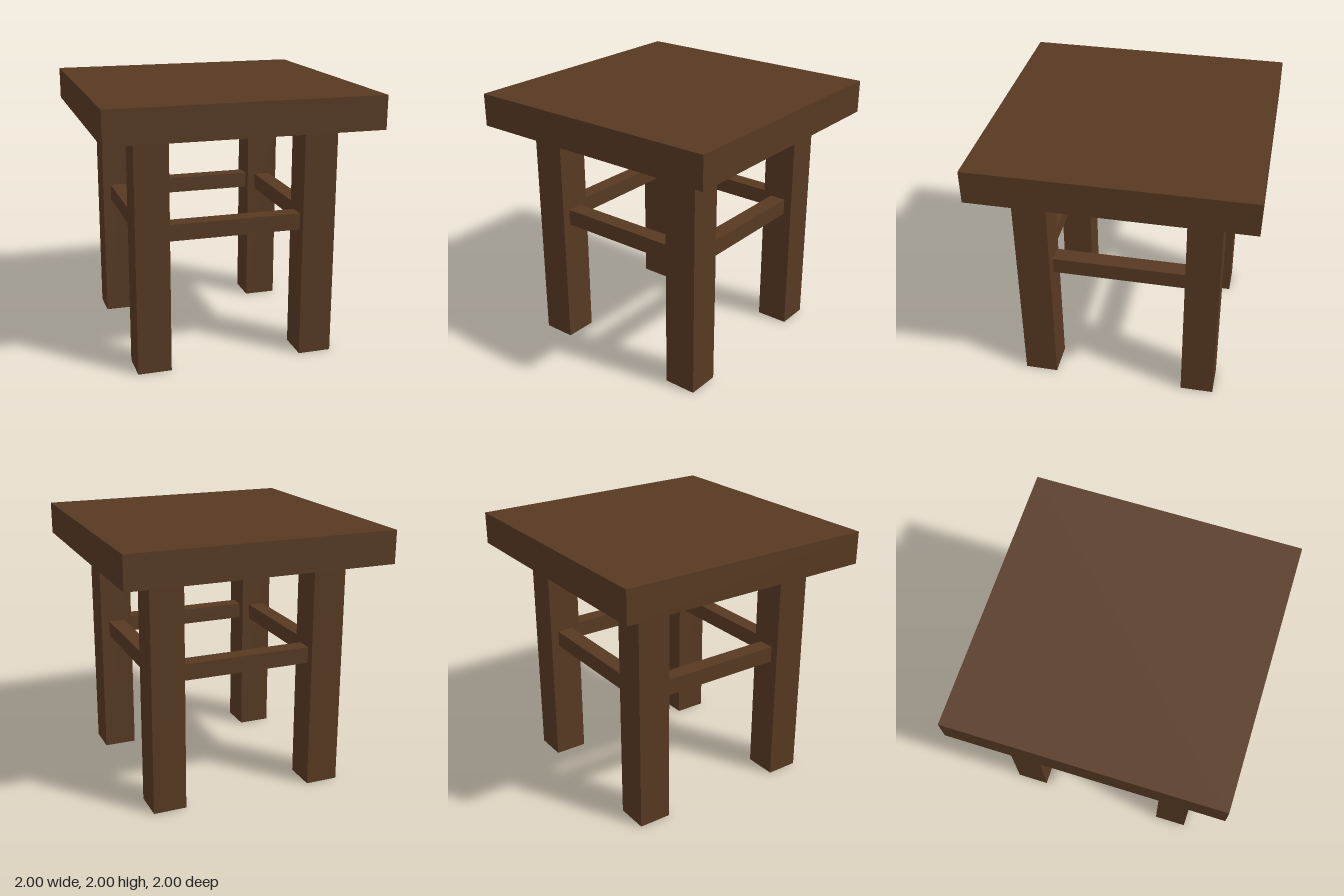
import * as THREE from 'three';

export function createModel() {
  const model = new THREE.Group();
  model.name = 'stool';
  const wood = new THREE.MeshStandardMaterial({ color: 0x573922 });
  wood.name = 'dark brown wood';

  // Box given by its size and centre
  const addBox = (name, [w, h, d], [x, y, z]) => {
    const mesh = new THREE.Mesh(new THREE.BoxGeometry(w, h, d), wood);
    mesh.name = name;
    mesh.position.set(x, y, z);
    model.add(mesh);
  };

  const seatBottom = 1.755;
  const legCentre = 0.625;
  const railY = 1.035;

  // Seat slab
  addBox('seat', [2, 2 - seatBottom, 2], [0, (2 + seatBottom) / 2, 0]);

  // Four square legs
  for (const [side, x] of [['left', legCentre], ['right', -legCentre]]) {
    for (const [end, z] of [['Front', legCentre], ['Back', -legCentre]]) {
      addBox(`${side}${end}Leg`, [0.25, seatBottom, 0.25], [x, seatBottom / 2, z]);
    }
  }

  // Rails between the legs; the left one stops just short of the front leg
  addBox('frontRail', [1, 0.123, 0.125], [0, railY, legCentre]);
  addBox('backRail', [1, 0.123, 0.125], [0, railY, -legCentre]);
  addBox('rightRail', [0.125, 0.123, 1], [-legCentre, railY, 0]);
  addBox('leftRail', [0.125, 0.123, 0.99], [legCentre, railY, -0.005]);

  return model;
}
